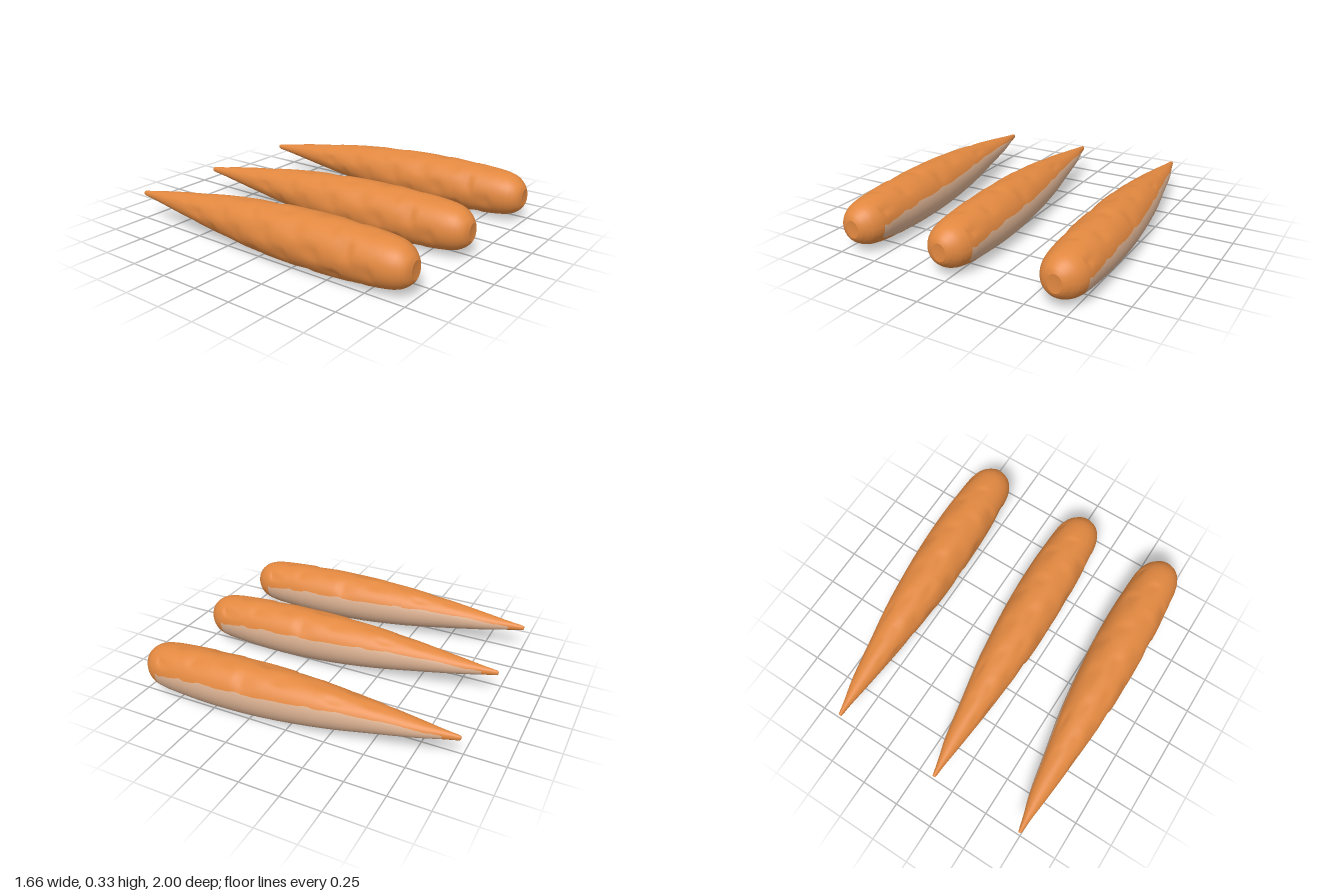
import * as THREE from 'three';

// Cross-sections from blunt end to tip: z, xMin, xMax, yMin, yMax, patch start and end angle (degrees)
const SECTIONS = [
  [1.0, -0.025, 0.06, 0.115, 0.225, -30, 0],
  [0.98, -0.07, 0.092, 0.085, 0.257, -30, 0],
  [0.93, -0.105, 0.135, 0.05, 0.295, -25, -2],
  [0.85, -0.127, 0.16, 0.03, 0.316, -36, 3],
  [0.7, -0.143, 0.168, 0.015, 0.328, -52, 10],
  [0.5, -0.158, 0.171, 0.005, 0.335, -51, 15],
  [0.25, -0.166, 0.16, 0.005, 0.333, -51, 18],
  [0.0, -0.167, 0.135, 0.018, 0.322, -55, 22],
  [-0.25, -0.153, 0.1, 0.045, 0.3, -60, 25],
  [-0.5, -0.135, 0.05, 0.08, 0.268, -65, 26],
  [-0.75, -0.112, 0.0, 0.12, 0.23, -68, 22],
  [-0.9, -0.096, -0.043, 0.145, 0.205, -50, 8],
  [-0.985, -0.09, -0.065, 0.158, 0.192, -40, 0],
  [-1.0, -0.085, -0.07, 0.167, 0.185, -40, 0],
];
const STEPS = 8;        // rings between two sections
const PATCH_COLS = 18;  // columns across the pale patch
const SKIN_COLS = 42;   // columns around the rest

function seeded(seed) {
  return () => {
    seed = (seed * 16807) % 2147483647;
    return seed / 2147483647;
  };
}

// Smooth interpolation of a section row
function sectionAt(t) {
  const last = SECTIONS.length - 1;
  const i = Math.min(Math.floor(t), last - 1);
  const f = t - i;
  const row = (k) => SECTIONS[Math.max(0, Math.min(last, k))];
  return SECTIONS[0].map((_, c) => {
    const [a, b, d, e] = [row(i - 1)[c], row(i)[c], row(i + 1)[c], row(i + 2)[c]];
    return b + 0.5 * f * (d - a + f * (2 * a - 5 * b + 4 * d - e + f * (3 * (b - d) + e - a)));
  });
}

// Shallow nicks in the skin: abrupt on one side, fading toward the tip
function makeNicks() {
  const rnd = seeded(71);
  return Array.from({ length: 34 }, (_, i) => ({
    z: 0.85 - (i / 34) * 1.45,
    angle: Math.PI * (0.2 + ((i * 0.618) % 1) * 1.4),
    width: 0.2 + rnd() * 0.22,
    length: 0.07 + rnd() * 0.09,
    depth: 0.04 + rnd() * 0.04,
  }));
}

function nickScale(nicks, z, angle) {
  let scale = 1;
  for (const n of nicks) {
    const d = n.z - z;
    const across = Math.abs(Math.atan2(Math.sin(angle - n.angle), Math.cos(angle - n.angle))) / n.width;
    if (across >= 1 || d < -0.02 || d > n.length) continue;
    const along = d < 0 ? 1 + d / 0.02 : 1 - d / n.length;
    scale -= n.depth * along * (1 - across * across);
  }
  return Math.max(scale, 0.92);
}

function carrotGeometry() {
  const nicks = makeNicks();
  const rnd = seeded(19);
  const cols = PATCH_COLS + SKIN_COLS;
  const rings = (SECTIONS.length - 1) * STEPS + 1;
  const positions = [];
  const ringZ = [];
  let jagLow = 0;
  let jagHigh = 0;

  for (let i = 0; i < rings; i++) {
    const [z, x0, x1, y0, y1, low, high] = sectionAt(i / STEPS);
    ringZ.push(z);
    // uneven patch edge
    if (i % 2 === 0) {
      jagLow = (rnd() - 0.5) * 7;
      jagHigh = (rnd() - 0.5) * 6;
    }
    const a0 = THREE.MathUtils.degToRad(low + jagLow);
    const a1 = THREE.MathUtils.degToRad(high + jagHigh);
    for (let j = 0; j < cols; j++) {
      const a = j < PATCH_COLS
        ? a0 + (a1 - a0) * (j / PATCH_COLS)
        : a1 + (a0 + Math.PI * 2 - a1) * ((j - PATCH_COLS) / SKIN_COLS);
      const s = nickScale(nicks, z, a);
      positions.push(
        (x0 + x1) / 2 + ((x1 - x0) / 2) * s * Math.cos(a),
        (y0 + y1) / 2 + ((y1 - y0) / 2) * s * Math.sin(a),
        z,
      );
    }
  }

  const skin = [];
  const patch = [];
  for (let i = 0; i < rings - 1; i++) {
    for (let j = 0; j < cols; j++) {
      const k = (j + 1) % cols;
      const a = i * cols + j;
      const b = a + cols;
      const c = i * cols + k;
      const d = c + cols;
      const pale = j < PATCH_COLS && ringZ[i] < 0.885 && ringZ[i + 1] > -0.91;
      (pale ? patch : skin).push(a, b, c, b, d, c);
    }
  }

  // End caps, the blunt one slightly dimpled
  const front = positions.length / 3;
  positions.push(0.018, 0.17, 0.992);
  positions.push(-0.078, 0.176, -1.0);
  const lastRing = (rings - 1) * cols;
  for (let j = 0; j < cols; j++) {
    const k = (j + 1) % cols;
    skin.push(front, j, k, front + 1, lastRing + k, lastRing + j);
  }

  const geometry = new THREE.BufferGeometry();
  geometry.setAttribute('position', new THREE.Float32BufferAttribute(positions, 3));
  geometry.setIndex([...skin, ...patch]);
  geometry.addGroup(0, skin.length, 0);
  geometry.addGroup(skin.length, patch.length, 1);
  geometry.computeVertexNormals();
  return geometry;
}

export function createModel() {
  const orange = new THREE.MeshStandardMaterial({ color: 0xe28840 });
  orange.name = 'carrot orange';
  const pale = new THREE.MeshStandardMaterial({ color: 0xdab091 });
  pale.name = 'pale peach';

  const model = new THREE.Group();
  model.name = 'carrots';
  const geometry = carrotGeometry();

  // Three matching carrots side by side
  [['rightCarrot', -0.665], ['middleCarrot', -0.05], ['leftCarrot', 0.66]].forEach(([name, x]) => {
    const carrot = new THREE.Mesh(geometry, [orange, pale]);
    carrot.name = name;
    carrot.position.x = x;
    model.add(carrot);
  });
  return model;
}
